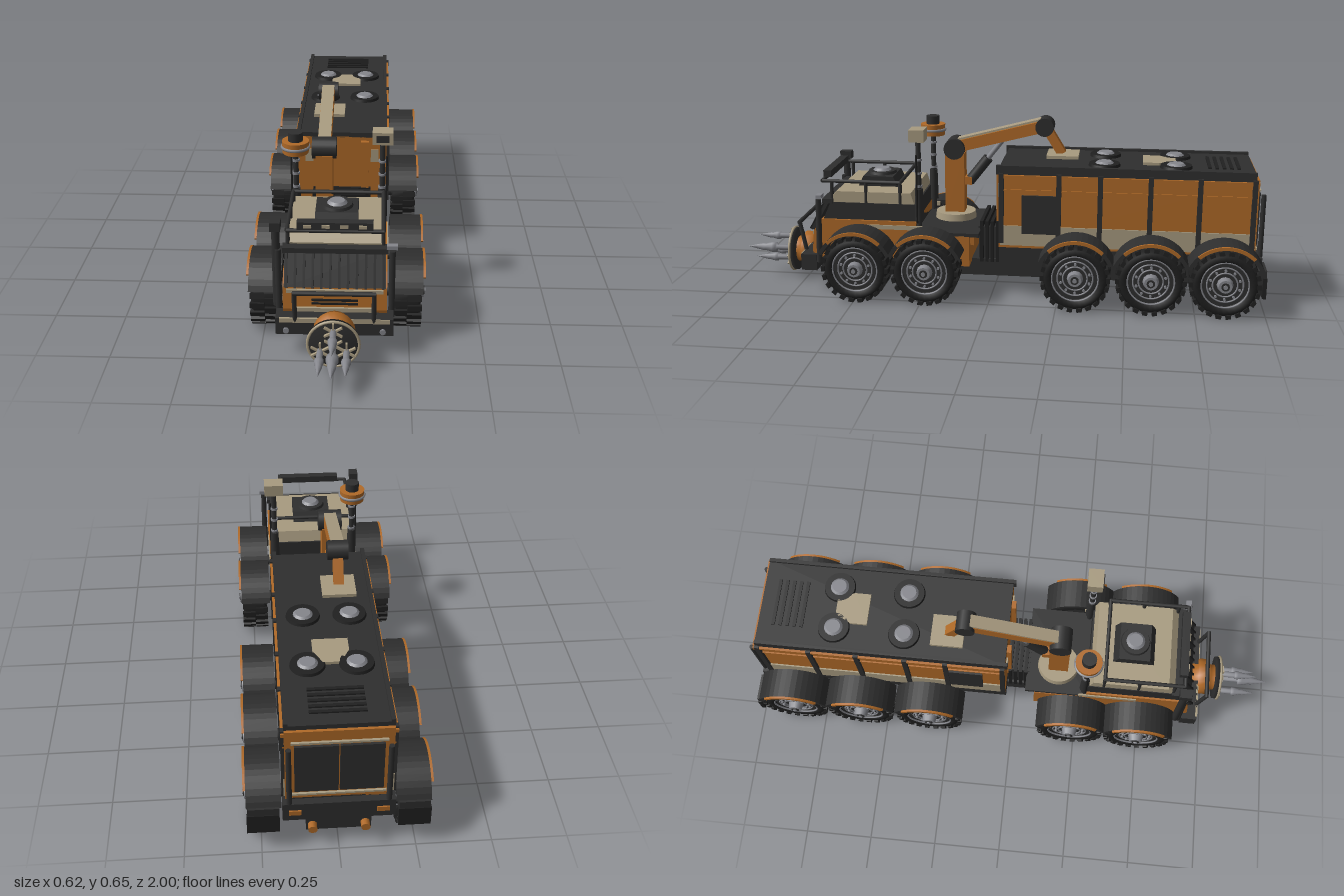
import * as THREE from 'three';

const mk = (name, color) => { const m = new THREE.MeshStandardMaterial({ color }); m.name = name; return m; };

export function createModel() {
  const orange = mk('orange paint', 0xb06a28), dark = mk('charcoal', 0x2e2e2e), black = mk('rubber black', 0x202020);
  const beige = mk('beige', 0xa89b80), steel = mk('steel', 0x85868c);
  const root = new THREE.Group();
  root.name = 'minerTruck';

  const add = (name, mat, geo, x = 0, y = 0, z = 0, parent = root) => {
    const m = new THREE.Mesh(geo, mat);
    m.name = name;
    m.position.set(x, y, z);
    parent.add(m);
    return m;
  };
  const box = (name, mat, w, h, d, x, y, z, parent) => add(name, mat, new THREE.BoxGeometry(w, h, d), x, y, z, parent);
  const drum = (name, mat, rt, rb, h, x, y, z, parent, n = 20) => add(name, mat, new THREE.CylinderGeometry(rt, rb, h, n), x, y, z, parent);
  const UP = new THREE.Vector3(0, 1, 0);
  // Cylinder (r) or bar (w, d) between two points
  const span = (name, mat, a, b, geoFor) => {
    const p = new THREE.Vector3(...a), q = new THREE.Vector3(...b), dir = q.clone().sub(p);
    const m = add(name, mat, geoFor(dir.length()));
    m.position.copy(p).add(q).multiplyScalar(0.5);
    m.quaternion.setFromUnitVectors(UP, dir.normalize());
    return m;
  };
  const rod = (name, mat, a, b, r, n = 10) => span(name, mat, a, b, (l) => new THREE.CylinderGeometry(r, r, l, n));
  const bar = (name, mat, a, b, w, d) => span(name, mat, a, b, (l) => new THREE.BoxGeometry(w, l, d));
  // Side outline in (z, y), extruded across x
  const across = (name, mat, shape, width, x, y, z, segs = 8) => {
    const geo = new THREE.ExtrudeGeometry(shape, { depth: width, bevelEnabled: false, curveSegments: segs });
    geo.translate(0, 0, -width / 2).rotateY(-Math.PI / 2);
    return add(name, mat, geo, x, y, z);
  };
  const poly = (pts) => new THREE.Shape(pts.map((p) => new THREE.Vector2(...p)));
  const arch = (r0, r1, a) => {
    const s = new THREE.Shape();
    s.absarc(0, 0, r1, a, Math.PI - a, false);
    s.absarc(0, 0, r0, Math.PI - a, a, true);
    return s;
  };

  // Wheel, axis on y, outer face toward +y
  const wheel = new THREE.Group();
  wheel.name = 'wheel';
  const tyre = [[0.08, -0.046], [0.108, -0.046], [0.117, -0.036], [0.117, 0.036], [0.108, 0.046], [0.088, 0.046], [0.08, 0.034]];
  add('tyre', black, new THREE.LatheGeometry(tyre.map((p) => new THREE.Vector2(...p)), 32), 0, 0, 0, wheel);
  for (let i = 0; i < 22; i++) for (const s of [-1, 1]) {
    const a = ((i + (s > 0 ? 0.5 : 0)) / 22) * Math.PI * 2;
    const lug = box('treadLug', black, 0.014, 0.049, 0.019, 0.119 * Math.cos(a), s * 0.025, 0.119 * Math.sin(a), wheel);
    lug.rotation.y = -a;
  }
  drum('rimDisc', dark, 0.084, 0.084, 0.07, 0, 0, 0, wheel, 32);
  for (const [r, t] of [[0.084, 0.0035], [0.064, 0.003], [0.044, 0.003]])
    add('rimRing', steel, new THREE.TorusGeometry(r, t, 6, 32).rotateX(Math.PI / 2), 0, r > 0.08 ? 0.041 : 0.037, 0, wheel);
  for (let i = 0; i < 10; i++) {
    const a = (i / 10) * Math.PI * 2;
    drum('bolt', steel, 0.005, 0.005, 0.012, 0.054 * Math.cos(a), 0.037, 0.054 * Math.sin(a), wheel, 6);
  }
  drum('hub', steel, 0.024, 0.03, 0.026, 0, 0.046, 0, wheel, 12);
  drum('hubRecess', dark, 0.015, 0.015, 0.004, 0, 0.06, 0, wheel, 12);
  drum('hubCap', steel, 0.008, 0.008, 0.01, 0, 0.061, 0, wheel, 10);

  for (const z of [0.49, 0.23, -0.32, -0.59, -0.85]) {
    rod('axle', dark, [-0.22, 0.128, z], [0.22, 0.128, z], 0.022);
    for (const s of [-1, 1]) {
      const w = wheel.clone();
      w.rotation.z = (-s * Math.PI) / 2;
      w.position.set(s * 0.242, 0.128, z);
      root.add(w);
      across('fender', dark, arch(0.132, 0.146, 0.42), 0.112, s * 0.239, 0.128, z);
      across('fenderTrim', orange, arch(0.135, 0.147, 0.82), 0.008, s * 0.299, 0.128, z);
    }
  }

  // Chassis
  box('chassis', dark, 0.21, 0.065, 1.63, 0, 0.098, -0.155);
  box('trailerUnderframe', dark, 0.32, 0.08, 0.93, 0, 0.165, -0.495);
  for (const s of [-1, 1]) rod('chassisTube', dark, [s * 0.088, 0.08, 0.66], [s * 0.088, 0.08, -0.95], 0.016);

  // Trailer body
  box('trailerBody', orange, 0.34, 0.285, 0.93, 0, 0.343, -0.495);
  box('trailerRoof', dark, 0.335, 0.02, 0.92, 0, 0.492, -0.49);
  for (const s of [-1, 1]) {
    box('roofRail', dark, 0.014, 0.034, 0.93, s * 0.164, 0.494, -0.485);
    box('sideSkirt', beige, 0.008, 0.075, 0.92, s * 0.171, 0.248, -0.495);
    box('sideTrim', orange, 0.014, 0.012, 0.93, s * 0.173, 0.472, -0.495);
    box('sideTrim', orange, 0.012, 0.006, 0.92, s * 0.169, 0.42, -0.495);
    box('sideHatch', dark, 0.014, 0.145, 0.135, s * 0.171, 0.33, -0.183);
    for (const z of [-0.04, -0.25, -0.4, -0.58, -0.755, -0.945]) box('sideRib', dark, 0.016, 0.265, 0.018, s * 0.173, 0.352, z);
    // Trailer front panels
    box('frontPanel', beige, 0.03, 0.05, 0.008, s * 0.125, 0.41, -0.028);
    box('frontPost', orange, 0.03, 0.24, 0.02, s * 0.088, 0.35, -0.024);
    // Tail
    box('rearDoor', dark, 0.138, 0.19, 0.014, s * 0.071, 0.335, -0.962);
    rod('rearRail', dark, [s * 0.158, 0.2, -0.978], [s * 0.158, 0.43, -0.978], 0.009);
    box('mudFlap', black, 0.105, 0.075, 0.014, s * 0.242, 0.125, -0.985);
    box('mudFlapArm', dark, 0.1, 0.05, 0.03, s * 0.24, 0.165, -0.975);
    box('tailLight', orange, 0.04, 0.018, 0.006, s * 0.14, 0.165, -0.987);
    rod('exhaustPipe', steel, [s * 0.085, 0.09, -0.86], [s * 0.085, 0.09, -0.975], 0.013);
    rod('exhaustTip', orange, [s * 0.085, 0.09, -0.97], [s * 0.085, 0.09, -0.995], 0.015);
    // Roof vents
    for (const z of [-0.67, -0.41]) {
      drum('ventRing', black, 0.056, 0.06, 0.014, s * 0.08, 0.505, z, root, 24);
      drum('ventCap', steel, 0.026, 0.04, 0.012, s * 0.08, 0.513, z, root, 16);
    }
  }
  for (const y of [0.225, 0.443]) box('doorTrim', beige, 0.3, 0.007, 0.01, 0, y, -0.963);
  box('rearBumper', dark, 0.36, 0.07, 0.04, 0, 0.165, -0.965);
  for (let i = 0; i < 5; i++) box('roofLouvre', black, 0.18, 0.007, 0.012, 0, 0.504, -0.79 - i * 0.026);
  add('roofHatch', beige, new THREE.ExtrudeGeometry(poly([[-0.06, -0.06], [0.06, -0.06], [0.06, 0], [0.03, 0.06], [-0.03, 0.06], [-0.06, 0]]),
    { depth: 0.012, bevelEnabled: false }).rotateX(-Math.PI / 2), 0, 0.5, -0.61);
  box('craneRest', beige, 0.12, 0.014, 0.12, -0.055, 0.507, -0.25);

  // Bellows coupling
  box('couplingCore', dark, 0.19, 0.13, 0.09, 0, 0.19, 0.01);
  for (let i = 0; i < 4; i++) box('couplingRib', black, 0.22, 0.16, 0.012, 0, 0.2, -0.018 + i * 0.02);

  // Tractor body and cab
  across('tractorBody', orange, poly([[0.08, 0.12], [0.67, 0.12], [0.68, 0.16], [0.672, 0.24], [0.64, 0.285], [0.28, 0.285], [0.28, 0.235], [0.08, 0.235]]), 0.345, 0, 0, 0);
  box('rearDeck', dark, 0.34, 0.014, 0.24, 0, 0.24, 0.165);
  across('cab', dark, poly([[0.28, 0.24], [0.655, 0.24], [0.605, 0.35], [0.28, 0.35]]), 0.33, 0, 0, 0);
  bar('windscreen', dark, [0, 0.242, 0.678], [0, 0.35, 0.618], 0.335, 0.012);
  for (let i = 0; i < 12; i++) {
    const x = -0.16 + i * 0.0291;
    bar('windscreenSlat', black, [x, 0.242, 0.685], [x, 0.345, 0.628], 0.008, 0.012);
  }
  box('visor', dark, 0.35, 0.018, 0.04, 0, 0.355, 0.615);
  across('cabRoof', beige, poly([[0.285, 0.345], [0.6, 0.345], [0.605, 0.37], [0.58, 0.392], [0.3, 0.392]]), 0.325, 0, 0, 0);
  across('roofPod', dark, poly([[0.365, 0.39], [0.52, 0.39], [0.5, 0.43], [0.385, 0.43]]), 0.145, 0, 0, 0);
  drum('podRing', dark, 0.052, 0.056, 0.012, 0, 0.434, 0.442);
  drum('podCap', steel, 0.026, 0.04, 0.014, 0, 0.442, 0.442, root, 16);
  box('hoodStrip', beige, 0.32, 0.013, 0.008, 0, 0.227, 0.676);
  for (const y of [0.182, 0.195]) box('grilleSlit', black, 0.155, 0.007, 0.009, 0, y, 0.677);
  box('lowerGrille', beige, 0.26, 0.014, 0.012, 0, 0.162, 0.682);

  // Roof rack and lamps
  box('lightBar', dark, 0.25, 0.026, 0.03, 0, 0.448, 0.625);
  for (const x of [-0.09, -0.03, 0.03, 0.09]) box('lamp', beige, 0.026, 0.011, 0.008, x, 0.448, 0.64);
  for (const z of [0.635, 0.34]) rod('rackCrossBar', dark, [-0.16, 0.43, z], [0.16, 0.43, z], 0.007);
  for (const s of [-1, 1]) {
    rod('rackSideBar', dark, [s * 0.158, 0.43, 0.635], [s * 0.158, 0.43, 0.34], 0.007);
    for (const z of [0.6, 0.47, 0.34]) rod('rackPost', dark, [s * 0.158, 0.34, z], [s * 0.158, 0.43, z], 0.007);
    box('cabSideStrip', beige, 0.006, 0.016, 0.22, s * 0.174, 0.262, 0.36);
    // Bull bar and bumper lamps
    rod('bullBarUpright', dark, [s * 0.13, 0.135, 0.715], [s * 0.13, 0.258, 0.74], 0.008);
    rod('cornerPost', dark, [s * 0.188, 0.12, 0.65], [s * 0.188, 0.365, 0.645], 0.011);
    add('bumperLamp', steel, new THREE.CylinderGeometry(0.01, 0.01, 0.01, 12).rotateX(Math.PI / 2), s * 0.16, 0.103, 0.722);
  }
  rod('bullBarTop', dark, [-0.135, 0.256, 0.74], [0.135, 0.256, 0.74], 0.008);
  box('bumper', dark, 0.39, 0.062, 0.06, 0, 0.118, 0.69);
  box('bumperStrip', beige, 0.365, 0.016, 0.008, 0, 0.141, 0.719);
  rod('snorkel', dark, [-0.195, 0.15, 0.635], [-0.195, 0.44, 0.635], 0.014);
  box('snorkelHead', dark, 0.034, 0.03, 0.045, -0.195, 0.45, 0.635);
  box('sideMirror', steel, 0.035, 0.014, 0.02, 0.187, 0.378, 0.64);

  // Masts
  for (const s of [-1, 1]) {
    rod('mast', dark, [s * 0.153, 0.24, 0.27], [s * 0.153, 0.6, 0.27], 0.01);
    rod('mastCable', black, [s * 0.168, 0.28, 0.275], [s * 0.168, 0.54, 0.275], 0.004, 6);
    drum('mastSocket', dark, 0.015, 0.018, 0.12, s * 0.153, 0.35, 0.27, root, 12);
    for (const y of [0.42, 0.47, 0.52]) drum('mastRing', steel, 0.014, 0.014, 0.008, s * 0.153, y, 0.27, root, 12);
  }
  drum('beaconDrum', orange, 0.048, 0.046, 0.044, -0.153, 0.572, 0.27, root, 24);
  add('beaconBand', steel, new THREE.TorusGeometry(0.047, 0.006, 6, 24).rotateX(Math.PI / 2), -0.153, 0.572, 0.27);
  drum('beaconCap', dark, 0.026, 0.026, 0.034, -0.153, 0.609, 0.27);
  box('sensorHead', beige, 0.072, 0.045, 0.056, 0.153, 0.614, 0.27);
  box('sensorLens', dark, 0.045, 0.024, 0.008, 0.153, 0.614, 0.298);

  // Crane
  const cx = -0.057, cz = 0.165;
  drum('craneBase', beige, 0.076, 0.08, 0.03, cx, 0.258, cz, root, 28);
  box('craneColumn', orange, 0.062, 0.24, 0.075, cx, 0.385, cz);
  rod('shoulderJoint', dark, [cx - 0.044, 0.523, cz], [cx + 0.044, 0.523, cz], 0.04, 20);
  bar('boom', orange, [cx, 0.53, cz - 0.01], [cx, 0.617, -0.18], 0.048, 0.044);
  bar('boomTopPlate', beige, [cx, 0.555, cz], [cx, 0.642, -0.165], 0.046, 0.007);
  rod('elbowJoint', dark, [cx - 0.037, 0.615, -0.18], [cx + 0.037, 0.615, -0.18], 0.035, 20);
  bar('jib', orange, [cx, 0.61, -0.185], [cx, 0.512, -0.245], 0.036, 0.034);
  rod('ramBarrel', dark, [cx, 0.39, 0.112], [cx, 0.485, 0.038], 0.02, 12);
  rod('ramRod', steel, [cx, 0.47, 0.05], [cx, 0.56, -0.02], 0.01);
  box('ramBracket', orange, 0.04, 0.03, 0.04, cx, 0.395, 0.12);
  box('deckBox', orange, 0.09, 0.05, 0.04, 0.1, 0.22, 0.085);

  // Drill head, axis on z
  const drill = new THREE.Group();
  drill.name = 'drillHead';
  drill.position.set(0, 0.107, 0);
  root.add(drill);
  const turn = (name, mat, pts, x, y, z, n = 20) =>
    add(name, mat, new THREE.LatheGeometry(pts.map((p) => new THREE.Vector2(...p)), n).rotateX(Math.PI / 2), x, y, z, drill);
  turn('drillHousing', orange, [[0, 0], [0.055, 0], [0.055, 0.03], [0.07, 0.03], [0.07, 0.07], [0.05, 0.08], [0.05, 0.1]], 0, 0, 0.69);
  turn('drillDisc', dark, [[0, 0], [0.084, 0], [0.084, 0.02], [0, 0.02]], 0, 0, 0.787, 32);
  add('drillRim', beige, new THREE.TorusGeometry(0.084, 0.005, 8, 36), 0, 0, 0.805, drill);
  const spike = (x, y, k, l) => {
    turn('drillBit', steel, [[0, 0], [0.011, 0], [0.011, l * 0.38], [0.02 * k, l * 0.4], [0.02 * k, l * 0.48], [0.013 * k, l * 0.62], [0.0145 * k, l * 0.66], [0, l]], x, y, 0.805, 10);
    for (let i = 0; i < 6; i++) {
      const a = (i / 6) * Math.PI * 2 + 0.52, r = 0.021;
      const tooth = box('cutterTooth', beige, 0.024, 0.006, 0.012, x + r * Math.cos(a), y + r * Math.sin(a), 0.811, drill);
      tooth.rotation.z = a;
    }
  };
  spike(0, 0, 1.05, 0.195);
  for (const a of [90, 210, 330]) spike(0.05 * Math.cos((a * Math.PI) / 180), 0.05 * Math.sin((a * Math.PI) / 180), 0.8, 0.145);

  return root;
}
